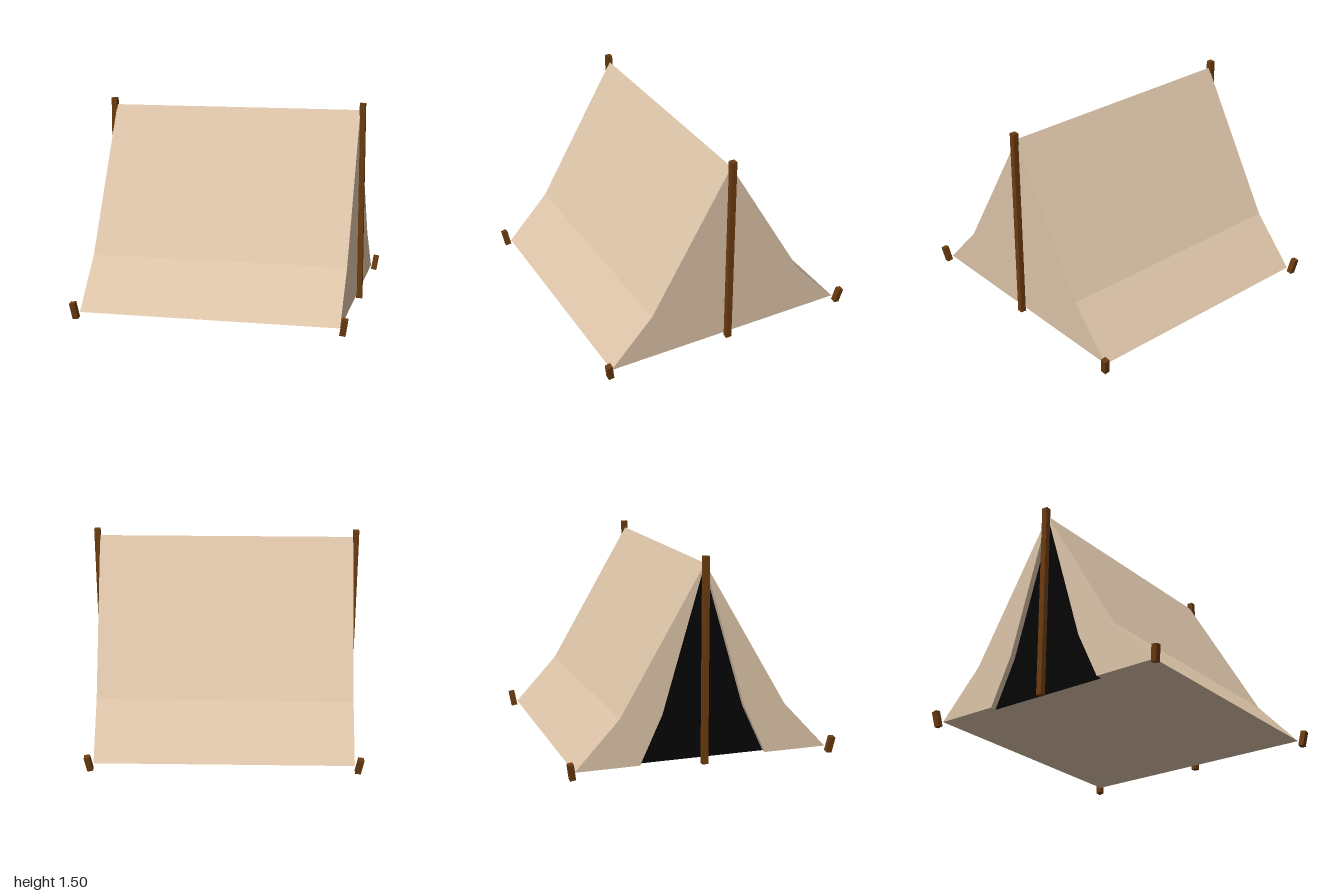
import * as THREE from 'three';

const canvas = new THREE.MeshStandardMaterial({ color: 0xdcc4a8 });
canvas.name = 'canvas';
const wood = new THREE.MeshStandardMaterial({ color: 0x6b3b10 });
wood.name = 'wood';
const dark = new THREE.MeshStandardMaterial({ color: 0x050505 });
dark.name = 'darkInterior';

const END = 0.94;     // half length along x
const RECESS = 0.05;  // depth of the doorway

// Tent profile, from ridge to foot: [distance from centre, height]
const outer = [[0, 1.45], [0.615, 0.4], [0.94, 0.05]];
const inner = outer.map(([z, y]) => [z / 2, y]);
const mirrored = (pts) => pts.map(([z, y]) => [-z, y]);

// Extrude a cross-section lying in the zy plane from x0 to x1
function slab(name, pts, x0, x1, material) {
  const shape = new THREE.Shape(pts.map(([z, y]) => new THREE.Vector2(z, y)));
  const geo = new THREE.ExtrudeGeometry(shape, { depth: x1 - x0, bevelEnabled: false });
  geo.rotateY(Math.PI / 2).translate(x0, 0, 0);
  const mesh = new THREE.Mesh(geo, material);
  mesh.name = name;
  return mesh;
}

function post(name, w, h, x, y, z) {
  const mesh = new THREE.Mesh(new THREE.BoxGeometry(w, h, w), wood);
  mesh.name = name;
  mesh.position.set(x, y, z);
  return mesh;
}

export function createModel() {
  const tent = new THREE.Group();
  tent.name = 'tent';

  // Closed main body
  const section = [...outer, ...mirrored(outer).slice(1).reverse()];
  tent.add(slab('tentBody', section, -END + RECESS, END, canvas));

  // Door flaps either side of the recessed opening
  const flap = [...outer, ...inner.slice(1).reverse()];
  tent.add(slab('doorFlapFront', flap.map(([z, y]) => [-z, y]), -END, -END + RECESS, canvas));
  tent.add(slab('doorFlapBack', flap, -END, -END + RECESS, canvas));

  // Dark doorway panel
  const door = [...inner, ...mirrored(inner).slice(1).reverse()];
  tent.add(slab('doorOpening', door, -END + RECESS - 0.004, -END + RECESS, dark));

  for (const sx of [-1, 1]) {
    // Upright pole at each end
    tent.add(post(sx > 0 ? 'poleLeft' : 'poleRight', 0.043, 1.48, sx * 0.958, 0.762, 0));

    // Corner stakes leaning outwards
    for (const sz of [-1, 1]) {
      const name = `stake${sz > 0 ? 'Front' : 'Back'}${sx > 0 ? 'Left' : 'Right'}`;
      const stake = post(name, 0.042, 0.12, sx * 0.97, 0.07, sz * 0.97);
      stake.rotation.set(sz * 0.16, 0, -sx * 0.16);
      tent.add(stake);
    }
  }
  return tent;
}
